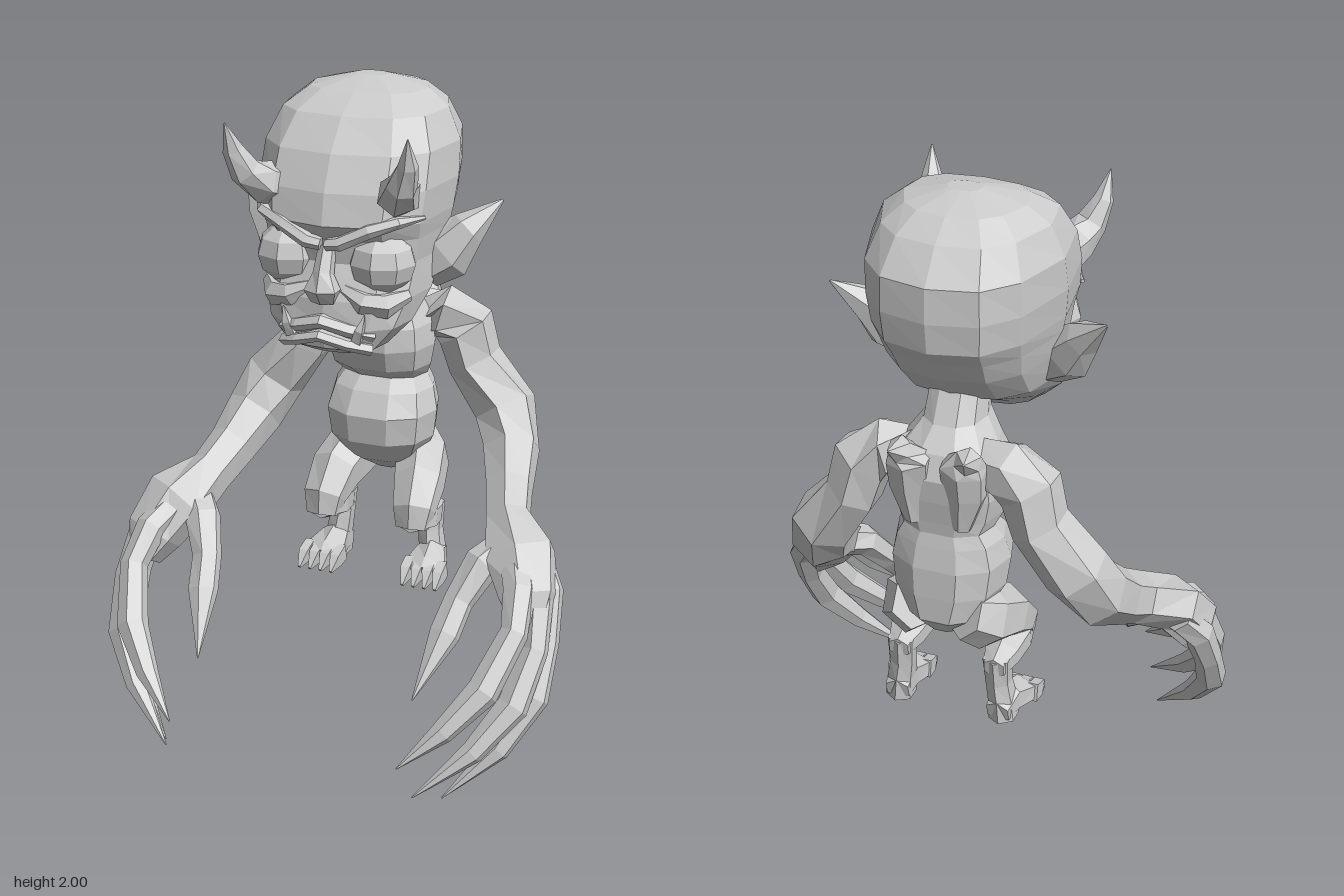
import * as THREE from 'three';

const skin = new THREE.MeshStandardMaterial({ color: 0xcccccc, flatShading: true });
skin.name = 'grey skin';
const V = (x, y, z) => new THREE.Vector3(x, y, z);
const X = V(1, 0, 0), Y = V(0, 1, 0), Z = V(0, 0, 1);

// Skin a list of equal-sized rings and close both ends
function loft(rings) {
  const n = rings[0].length, pos = [], idx = [];
  rings.forEach(r => r.forEach(p => pos.push(p.x, p.y, p.z)));
  for (let i = 0; i < rings.length - 1; i++) {
    for (let j = 0; j < n; j++) {
      const a = i * n + j, b = i * n + (j + 1) % n;
      idx.push(a, b, a + n, b, b + n, a + n);
    }
  }
  const last = (rings.length - 1) * n;
  for (let j = 1; j < n - 1; j++) {
    idx.push(0, j + 1, j, last, last + j, last + j + 1);
  }
  const g = new THREE.BufferGeometry();
  g.setAttribute('position', new THREE.Float32BufferAttribute(pos, 3));
  g.setIndex(idx);
  const flat = g.toNonIndexed();
  flat.computeVertexNormals();
  return flat;
}

// Limb along a path of [x, y, z, radius along ref, radius across]
function limb(path, ref = X, sides = 6) {
  const c = path.map(p => V(p[0], p[1], p[2]));
  return loft(path.map((p, i) => {
    const t = c[Math.min(i + 1, c.length - 1)].clone().sub(c[Math.max(i - 1, 0)]).normalize();
    const b = ref.clone().addScaledVector(t, -ref.dot(t)).normalize();
    const n = t.clone().cross(b);
    return Array.from({ length: sides }, (_, j) => {
      const a = (j + 0.5) / sides * Math.PI * 2;
      return c[i].clone().addScaledVector(b, Math.cos(a) * p[3]).addScaledVector(n, Math.sin(a) * (p[4] ?? p[3]));
    });
  }));
}

// Body from level sections [y, zBack, zFront, halfWidth], squared by power, narrowed to the back by taper
function stack(sections, sides, power, taper) {
  const sq = v => Math.sign(v) * Math.pow(Math.abs(v), power);
  return loft(sections.map(([y, zb, zf, w]) => Array.from({ length: sides }, (_, j) => {
    const a = j / sides * Math.PI * 2, s = sq(Math.sin(a));
    return V(sq(Math.cos(a)) * w * (1 - taper * Math.max(0, s)), y, (zb + zf) / 2 - s * (zf - zb) / 2);
  })));
}

export function createModel() {
  const model = new THREE.Group();
  model.name = 'imp';
  const add = (name, geo) => {
    const m = new THREE.Mesh(geo, skin);
    m.name = name;
    model.add(m);
  };
  // Limb on both sides of the body
  const pair = (name, path, ref, sides) => {
    add(name + 'Left', limb(path, ref, sides));
    add(name + 'Right', limb(path.map(([x, ...r]) => [-x, ...r]), ref, sides));
  };

  // Head
  add('head', stack([
    [1.25, -0.01, 0.12, 0.08], [1.275, -0.06, 0.165, 0.15], [1.34, -0.16, 0.18, 0.21],
    [1.42, -0.31, 0.175, 0.24], [1.52, -0.41, 0.135, 0.25], [1.59, -0.455, 0.15, 0.262],
    [1.64, -0.495, 0.185, 0.272], [1.73, -0.505, 0.165, 0.282], [1.83, -0.5, 0.115, 0.278],
    [1.92, -0.425, 0.035, 0.24], [1.97, -0.35, -0.06, 0.175], [2.0, -0.24, -0.17, 0.05],
  ], 12, 0.72, 0.2));

  // Face
  for (const [side, s] of [['Left', 1], ['Right', -1]]) {
    add('eye' + side, new THREE.SphereGeometry(1, 8, 6).scale(0.1, 0.09, 0.1).translate(s * 0.142, 1.525, 0.075));
  }
  pair('brow', [[0.01, 1.585, 0.165, 0.018, 0.025], [0.05, 1.592, 0.17, 0.022, 0.025],
    [0.13, 1.632, 0.155, 0.022, 0.025], [0.2, 1.655, 0.12, 0.018, 0.025], [0.255, 1.655, 0.04, 0.006]], Y);
  pair('cheekFold', [[0.05, 1.45, 0.14, 0.02], [0.11, 1.42, 0.145, 0.035], [0.165, 1.41, 0.12, 0.04],
    [0.215, 1.43, 0.06, 0.02]], Y);
  add('nose', limb([[0, 1.57, 0.14, 0.025, 0.03], [0, 1.5, 0.17, 0.03, 0.035], [0, 1.455, 0.18, 0.055, 0.045],
    [0, 1.42, 0.17, 0.04, 0.025]]));
  const lip = (y, z, r) => limb([-0.13, -0.07, 0, 0.07, 0.13].map(x =>
    [x, y - Math.abs(x) * 0.35, z - x * x * 3.5, r, r * 1.6]), Y);
  add('upperLip', lip(1.365, 0.18, 0.022));
  add('lowerLip', lip(1.325, 0.195, 0.018));
  pair('tusk', [[0.1, 1.31, 0.165, 0.02], [0.112, 1.345, 0.175, 0.016], [0.125, 1.39, 0.17, 0.002]], X, 4);

  // Ears and horns
  pair('ear', [[0.2, 1.465, -0.11, 0.05, 0.07], [0.262, 1.51, -0.125, 0.062, 0.085],
    [0.32, 1.58, -0.15, 0.055, 0.055], [0.405, 1.66, -0.21, 0.002, 0.004]], Z);
  pair('horn', [[0.185, 1.72, 0.06, 0.065], [0.205, 1.735, 0.13, 0.06], [0.235, 1.775, 0.175, 0.046],
    [0.26, 1.84, 0.2, 0.03], [0.27, 1.92, 0.23, 0.002]]);

  // Torso, neck and back
  add('torso', stack([
    [0.71, -0.43, -0.34, 0.05], [0.77, -0.48, -0.24, 0.12], [0.85, -0.48, -0.17, 0.165],
    [0.94, -0.475, -0.16, 0.177], [1.01, -0.46, -0.2, 0.16], [1.05, -0.45, -0.24, 0.135],
    [1.09, -0.455, -0.18, 0.155], [1.16, -0.465, -0.15, 0.17], [1.23, -0.47, -0.15, 0.165],
    [1.3, -0.44, -0.18, 0.135], [1.36, -0.38, -0.17, 0.09], [1.45, -0.33, -0.15, 0.085],
  ], 10, 0.85, 0));
  pair('shoulderBlade', [[0.07, 1.08, -0.43, 0.03, 0.03], [0.08, 1.19, -0.425, 0.065, 0.055],
    [0.08, 1.28, -0.44, 0.07, 0.055], [0.1, 1.315, -0.46, 0.04, 0.04], [0.11, 1.335, -0.515, 0.003]]);

  // Arms
  pair('arm', [[0.09, 1.25, -0.34, 0.07, 0.075], [0.18, 1.25, -0.355, 0.09, 0.085], [0.25, 1.205, -0.365, 0.095, 0.09],
    [0.28, 1.1, -0.37, 0.085, 0.095], [0.385, 0.965, -0.36, 0.1, 0.1], [0.43, 0.86, -0.29, 0.09, 0.1],
    [0.46, 0.78, -0.18, 0.075, 0.085], [0.49, 0.72, -0.08, 0.07, 0.08], [0.56, 0.655, 0.02, 0.115, 0.085],
    [0.61, 0.56, 0.09, 0.09, 0.09], [0.63, 0.49, 0.13, 0.05, 0.07]]);

  // Clawed fingers and thumbs
  pair('innerFinger', [[0.55, 0.66, 0.04, 0.05, 0.045], [0.595, 0.6, 0.14, 0.048, 0.05], [0.612, 0.51, 0.23, 0.042, 0.045],
    [0.56, 0.37, 0.35, 0.048, 0.05], [0.47, 0.265, 0.435, 0.034, 0.036], [0.36, 0.165, 0.515, 0.002]]);
  pair('middleFinger', [[0.59, 0.64, 0.03, 0.05, 0.045], [0.642, 0.56, 0.1, 0.048, 0.05], [0.66, 0.44, 0.18, 0.042, 0.045],
    [0.63, 0.3, 0.28, 0.048, 0.05], [0.54, 0.18, 0.375, 0.034, 0.036], [0.395, 0.055, 0.475, 0.002]]);
  pair('outerFinger', [[0.6, 0.635, -0.02, 0.05, 0.045], [0.652, 0.56, 0.03, 0.048, 0.05], [0.67, 0.43, 0.1, 0.042, 0.045],
    [0.665, 0.29, 0.19, 0.048, 0.05], [0.59, 0.15, 0.28, 0.036, 0.036], [0.45, 0.005, 0.37, 0.002]]);
  pair('thumb', [[0.53, 0.67, -0.03, 0.06, 0.06], [0.455, 0.625, 0.06, 0.058, 0.05], [0.41, 0.53, 0.13, 0.046, 0.042],
    [0.392, 0.45, 0.2, 0.048, 0.04], [0.345, 0.295, 0.345, 0.002]]);

  // Crouched legs
  pair('thigh', [[0.075, 0.79, -0.425, 0.075, 0.08], [0.115, 0.755, -0.37, 0.088, 0.1],
    [0.14, 0.71, -0.27, 0.083, 0.085], [0.15, 0.645, -0.195, 0.07, 0.06], [0.15, 0.59, -0.18, 0.055, 0.04]]);
  pair('calf', [[0.15, 0.62, -0.165, 0.055, 0.04], [0.15, 0.61, -0.24, 0.07, 0.055],
    [0.15, 0.595, -0.32, 0.058, 0.048], [0.15, 0.585, -0.39, 0.035, 0.035]]);
  pair('ankle', [[0.15, 0.61, -0.36, 0.045, 0.04], [0.152, 0.52, -0.35, 0.04, 0.042], [0.16, 0.46, -0.345, 0.042, 0.05],
    [0.165, 0.39, -0.345, 0.045, 0.05]]);
  pair('foot', [[0.16, 0.425, -0.385, 0.04, 0.04], [0.165, 0.44, -0.32, 0.05, 0.058],
    [0.17, 0.425, -0.25, 0.075, 0.042], [0.172, 0.415, -0.22, 0.076, 0.03]]);
  for (let i = 0; i < 4; i++) {
    const x = 0.118 + i * 0.036;
    pair('toe' + (i + 1), [[x, 0.428, -0.26, 0.021, 0.04], [x + 0.002, 0.418, -0.21, 0.022, 0.033],
      [x + 0.004, 0.392, -0.17, 0.006]], X, 4);
  }
  return model;
}
